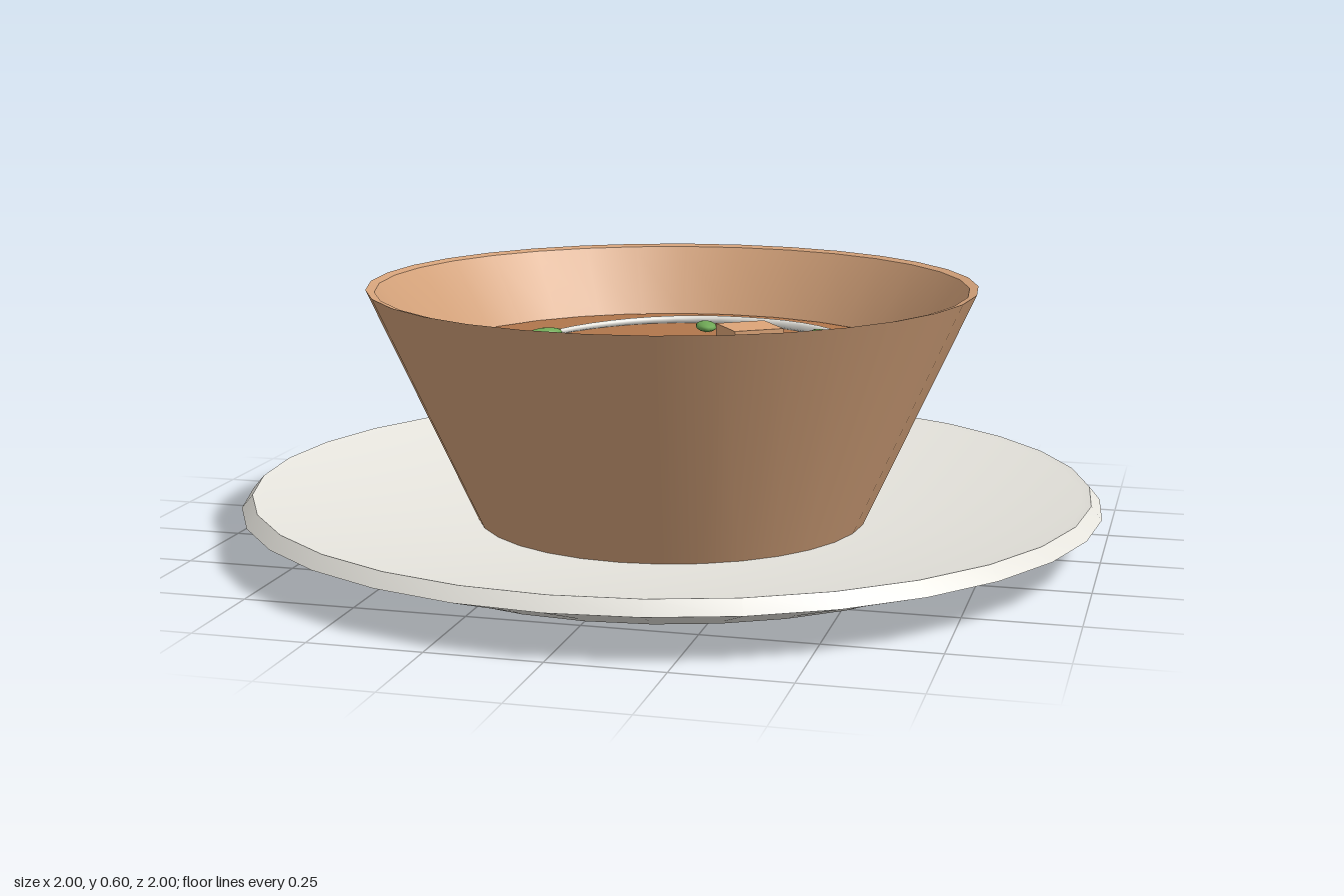
import * as THREE from 'three';
import { toCreasedNormals } from 'three/addons/utils/BufferGeometryUtils.js';

const material = (name, color) => {
  const m = new THREE.MeshStandardMaterial({ color });
  m.name = name;
  return m;
};

// Round part turned from [radius, height] pairs, with crisp rims
function turned(name, profile, segments, mat) {
  const points = profile.map(([r, y]) => new THREE.Vector2(r, y));
  const lathe = new THREE.LatheGeometry(points, segments, Math.PI / 2);
  const mesh = new THREE.Mesh(toCreasedNormals(lathe, 0.7), mat);
  mesh.name = name;
  return mesh;
}

// Round tube whose radius shrinks along the path
function taperedTube(curve, segments, sides, r0, r1) {
  const tube = new THREE.TubeGeometry(curve, segments, r0, sides);
  const pos = tube.attributes.position;
  const v = new THREE.Vector3();
  for (let i = 0; i <= segments; i++) {
    const t = i / segments;
    const centre = curve.getPointAt(t);
    const scale = THREE.MathUtils.lerp(1, r1 / r0, t);
    for (let j = 0; j <= sides; j++) {
      const k = i * (sides + 1) + j;
      v.fromBufferAttribute(pos, k).sub(centre).multiplyScalar(scale).add(centre);
      pos.setXYZ(k, v.x, v.y, v.z);
    }
  }
  return tube;
}

export function createModel() {
  const group = new THREE.Group();
  const china = material('plate white', 0xe8e6df);
  const clay = material('bowl tan', 0xd4a27a);
  const broth = material('soup brown', 0xb2774c);
  const cream = material('cream', 0xf5f3ec);
  const bread = material('crouton', 0xdda578);
  const green = material('herb green', 0x6fa856);

  // Saucer with a shallow sloping top
  group.add(turned('plate', [
    [0, 0], [0.72, 0], [0.76, 0.017], [1, 0.1], [0.975, 0.13],
    [0.955, 0.125], [0.48, 0.055], [0, 0.05],
  ], 32, china));

  // Flared bowl
  group.add(turned('bowl', [
    [0, 0.04], [0.45, 0.04], [0.705, 0.6], [0.685, 0.595],
    [0.575, 0.435], [0.42, 0.12], [0, 0.1],
  ], 32, clay));

  // Slightly domed soup surface
  group.add(turned('soup', [[0.572, 0.42], [0.57, 0.437], [0.3, 0.447], [0, 0.452]], 28, broth));

  // Swirl of cream, thinning and sinking at its tail
  const path = [
    [0.42, -0.04], [0.39, -0.15], [0.32, -0.26], [0.22, -0.34], [0.1, -0.38],
    [-0.03, -0.383], [-0.15, -0.335], [-0.25, -0.24], [-0.32, -0.11],
    [-0.33, 0.02], [-0.29, 0.13], [-0.2, 0.23], [-0.12, 0.275], [-0.04, 0.3],
  ].map(([x, z], i) => new THREE.Vector3(x, 0.455 - i * 0.0003, z));
  const swirl = new THREE.Mesh(
    taperedTube(new THREE.CatmullRomCurve3(path), 28, 6, 0.014, 0.003), cream);
  swirl.name = 'creamSwirl';
  group.add(swirl);

  // Crouton
  const crouton = new THREE.Mesh(new THREE.BoxGeometry(0.122, 0.04, 0.122), bread);
  crouton.name = 'crouton';
  crouton.position.set(0.165, 0.474, -0.085);
  crouton.rotation.y = 0.6;
  group.add(crouton);

  // Scattered herb leaves: x, z, turn, height
  const leaf = new THREE.SphereGeometry(1, 12, 8);
  [
    [0.02, -0.25, -1.2, 0.46], [0.31, -0.2, -1.25, 0.46], [-0.33, -0.06, 0.9, 0.46],
    [-0.14, 0.12, 1.1, 0.46], [0.18, 0.23, -0.1, 0.458], [-0.105, 0.385, -0.15, 0.456],
    [0.1, -0.005, 0, 0.451],
  ].forEach(([x, z, turn, y]) => {
    const mesh = new THREE.Mesh(leaf, green);
    mesh.name = 'herbLeaf';
    mesh.scale.set(0.048, 0.012, 0.025);
    mesh.position.set(x, y, z);
    mesh.rotation.y = turn;
    group.add(mesh);
  });

  return group;
}
